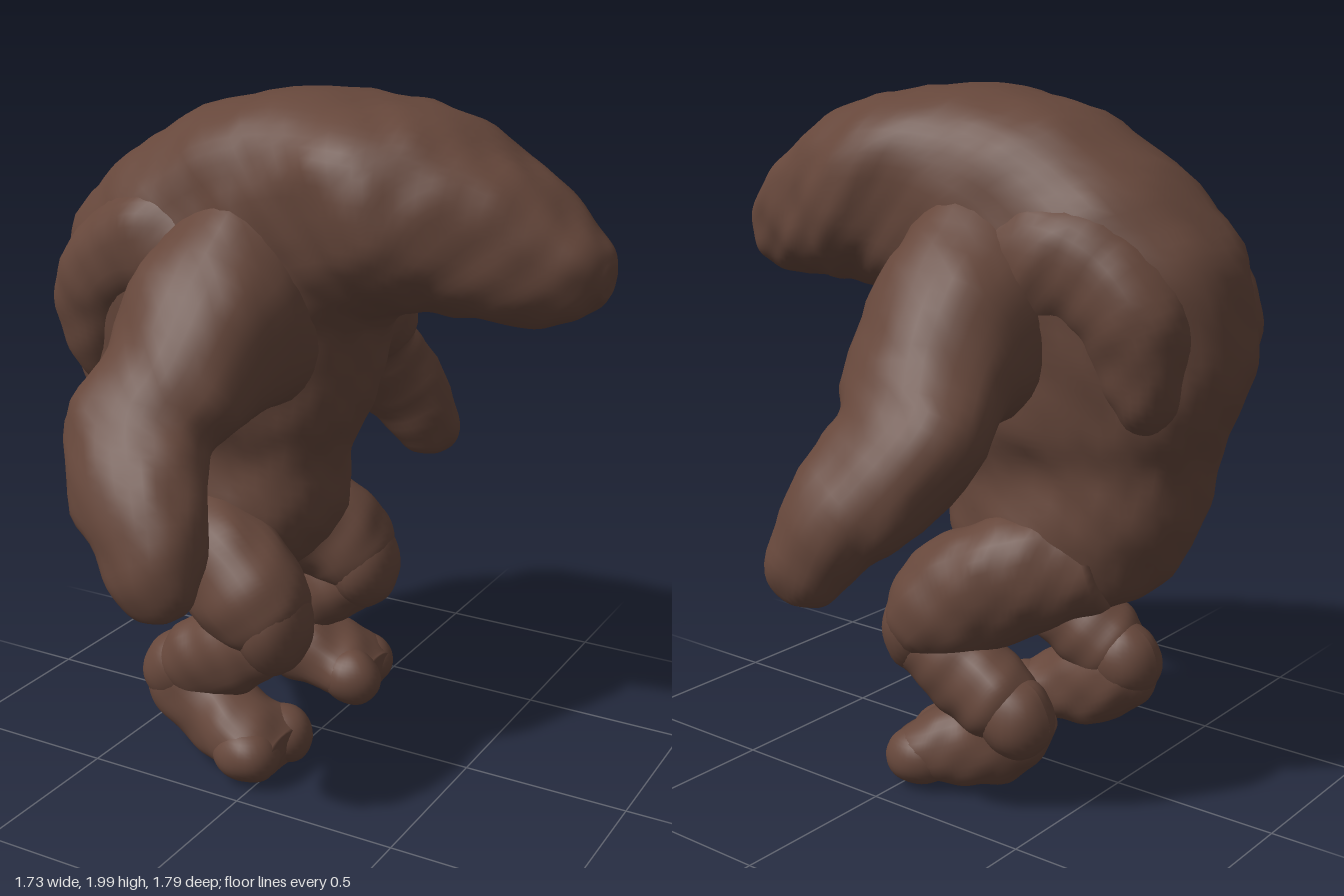
import * as THREE from 'three';

const V = (x, y, z) => new THREE.Vector3(x, y, z);
const hide = new THREE.MeshStandardMaterial({ color: 0x66473b });
hide.name = 'brown hide';

// Gentle lumps over the hide, pushed along the normals
function roughen(geo, amount = 0.007) {
  geo.computeVertexNormals();
  const p = geo.attributes.position, n = geo.attributes.normal;
  for (let i = 0; i < p.count; i++) {
    const x = p.getX(i), y = p.getY(i), z = p.getZ(i);
    const d = amount * (Math.sin(15 * x + 4 * z + 1) * Math.sin(17 * y - 5 * z)
      + 0.7 * Math.sin(29 * x + 3 * y) * Math.sin(27 * z + 2) * Math.sin(11 * y + 9 * x)
      + 0.5 * Math.sin(41 * y + 13 * x) * Math.sin(37 * x - 31 * z));
    p.setXYZ(i, x + n.getX(i) * d, y + n.getY(i) * d, z + n.getZ(i) * d);
  }
  geo.computeVertexNormals();
  return geo;
}

// Smooth skin through oval sections {c: centre, u, v: half axes}
function loft(name, sections, power = 1, rings = 48, sides = 40) {
  const [c, u, v] = ['c', 'u', 'v'].map(k => new THREE.CatmullRomCurve3(sections.map(s => s[k]), false, 'catmullrom', 0.5));
  const pos = [], idx = [];
  const bend = a => Math.sign(a) * Math.abs(a) ** power;
  for (let i = -1; i <= rings + 1; i++) {
    const t = THREE.MathUtils.clamp(i / rings, 0, 1);
    const size = i < 0 || i > rings ? 0 : 1; // closed ends
    const C = c.getPoint(t), U = u.getPoint(t), W = v.getPoint(t);
    for (let j = 0; j < sides; j++) {
      const a = j / sides * Math.PI * 2;
      const q = C.clone().addScaledVector(U, size * bend(Math.cos(a))).addScaledVector(W, size * bend(Math.sin(a)));
      pos.push(q.x, q.y, q.z);
    }
  }
  for (let i = 0; i < rings + 2; i++) for (let j = 0; j < sides; j++) {
    const k = (j + 1) % sides, a = i * sides + j, b = i * sides + k;
    idx.push(a, b, a + sides, b, b + sides, a + sides);
  }
  const geo = new THREE.BufferGeometry();
  geo.setAttribute('position', new THREE.Float32BufferAttribute(pos, 3));
  geo.setIndex(idx);
  const mesh = new THREE.Mesh(roughen(geo), hide);
  mesh.name = name;
  return mesh;
}

// Limb from [x, y, z, radius across, radius along ref]
function limb(name, rows, side, ref) {
  const pts = rows.map(r => V(r[0], r[1], r[2] * side));
  return loft(name, rows.map((r, i) => {
    const t = pts[Math.min(i + 1, pts.length - 1)].clone().sub(pts[Math.max(i - 1, 0)]).normalize();
    const s = ref.clone().addScaledVector(t, -ref.dot(t)).normalize();
    const n = s.clone().cross(t);
    return { c: pts[i], u: n.multiplyScalar(r[3]), v: s.multiplyScalar(r[4]) };
  }), 0.95, 40, 32);
}

function blob(name, x, y, z, rx, ry, rz) {
  const geo = new THREE.SphereGeometry(1, 28, 20).scale(rx, ry, rz).translate(x, y, z);
  const mesh = new THREE.Mesh(roughen(geo, 0.004), hide);
  mesh.name = name;
  return mesh;
}

// Hunched trunk and head: back point, belly point, half width
const trunk = [
  [-0.43, 0.53, -0.27, 0.51, 0.06],
  [-0.60, 0.63, -0.10, 0.55, 0.19],
  [-0.71, 0.80, 0.04, 0.70, 0.25],
  [-0.77, 1.00, 0.07, 0.90, 0.235],
  [-0.81, 1.13, 0.13, 1.05, 0.275],
  [-0.86, 1.32, 0.18, 1.20, 0.29],
  [-0.81, 1.56, 0.20, 1.32, 0.32],
  [-0.65, 1.75, 0.22, 1.36, 0.33],
  [-0.40, 1.91, 0.25, 1.385, 0.32],
  [-0.12, 1.99, 0.30, 1.40, 0.33],
  [0.20, 1.985, 0.36, 1.41, 0.36],
  [0.40, 1.945, 0.43, 1.41, 0.31],
  [0.60, 1.84, 0.56, 1.41, 0.24],
  [0.75, 1.73, 0.71, 1.41, 0.17],
  [0.84, 1.64, 0.81, 1.44, 0.11],
  [0.865, 1.58, 0.858, 1.50, 0.05],
];

const shoulderBlade = [
  [-0.64, 1.10, 0.13, 0.05, 0.06],
  [-0.66, 1.22, 0.16, 0.11, 0.11],
  [-0.65, 1.38, 0.17, 0.15, 0.14],
  [-0.53, 1.51, 0.18, 0.17, 0.15],
  [-0.34, 1.55, 0.19, 0.19, 0.16],
  [-0.10, 1.52, 0.20, 0.12, 0.10],
];

const arm = [
  [-0.14, 1.45, 0.06, 0.36, 0.25],
  [-0.16, 1.37, 0.22, 0.325, 0.27],
  [-0.17, 1.32, 0.37, 0.255, 0.255],
  [-0.19, 1.22, 0.50, 0.175, 0.23],
  [-0.23, 1.12, 0.60, 0.15, 0.22],
  [-0.17, 1.01, 0.69, 0.135, 0.20],
  [-0.09, 0.90, 0.76, 0.12, 0.165],
  [-0.04, 0.78, 0.80, 0.095, 0.12],
  [-0.02, 0.71, 0.805, 0.06, 0.075],
  [-0.02, 0.685, 0.805, 0.02, 0.02],
];

const thigh = [
  [-0.46, 0.72, 0.08, 0.15, 0.15],
  [-0.26, 0.65, 0.20, 0.18, 0.165],
  [-0.11, 0.57, 0.265, 0.18, 0.155],
  [-0.03, 0.49, 0.28, 0.15, 0.145],
  [0.00, 0.43, 0.28, 0.10, 0.11],
];

const shank = [
  [0.03, 0.43, 0.28, 0.08, 0.10],
  [-0.08, 0.40, 0.28, 0.125, 0.12],
  [-0.20, 0.34, 0.28, 0.135, 0.11],
  [-0.30, 0.28, 0.28, 0.12, 0.105],
  [-0.37, 0.24, 0.28, 0.06, 0.06],
];

const foot = [
  [-0.42, 0.28, 0.28, 0.04, 0.04],
  [-0.34, 0.23, 0.28, 0.11, 0.10],
  [-0.21, 0.16, 0.28, 0.13, 0.115],
  [-0.10, 0.12, 0.30, 0.11, 0.14],
  [-0.02, 0.10, 0.305, 0.095, 0.15],
  [0.05, 0.09, 0.305, 0.06, 0.11],
];

export function createModel() {
  const model = new THREE.Group();
  model.name = 'hunched creature';
  model.add(loft('trunkAndHead', trunk.map(([bx, by, fx, fy, w]) => ({
    c: V((bx + fx) / 2, (by + fy) / 2, 0),
    u: V((bx - fx) / 2, (by - fy) / 2, 0),
    v: V(0, 0, w),
  })), 0.83, 90, 56));

  for (const [label, side] of [['right', 1], ['left', -1]]) {
    // Shoulder blade and flaring arm, mirrored across the body
    model.add(limb(label + 'ShoulderBlade', shoulderBlade, side, V(0, 0, 1)));
    model.add(limb(label + 'Arm', arm, side, V(1, 0, 0)));

    // Foot with two broad toes; the left one stands slightly further in
    const footGroup = new THREE.Group();
    footGroup.name = label + 'Foot';
    footGroup.position.z = side < 0 ? 0.03 : 0;
    footGroup.add(
      limb('footBase', foot, side, V(0, 0, 1)),
      blob('innerToe', -0.01, 0.1, 0.235 * side, 0.1, 0.09, 0.085),
      blob('outerToe', -0.04, 0.095, 0.38 * side, 0.105, 0.085, 0.09),
    );
    const leg = new THREE.Group();
    leg.name = label + 'Leg';
    leg.add(
      limb('thigh', thigh, side, V(0, 0, 1)),
      blob('knee', 0.0, 0.475, 0.28 * side, 0.11, 0.15, 0.135),
      limb('shank', shank, side, V(0, 0, 1)),
      blob('heel', -0.335, 0.265, 0.28 * side, 0.115, 0.12, 0.105),
      footGroup,
    );
    model.add(leg);
  }
  return model;
}
